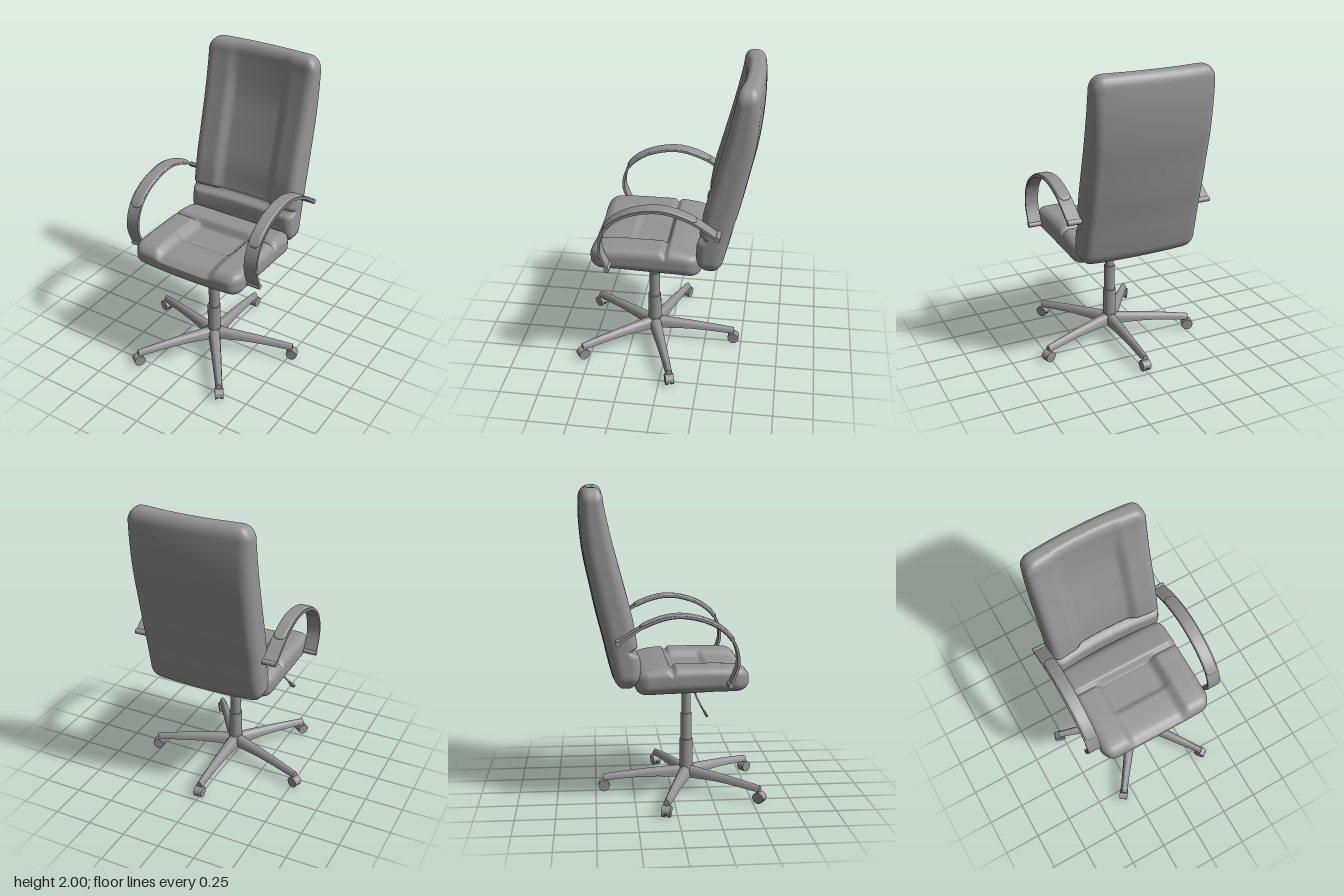
import * as THREE from 'three';
import { mergeVertices, toCreasedNormals } from 'three/addons/utils/BufferGeometryUtils.js';

const mat = new THREE.MeshStandardMaterial({ color: 0x949494 });
const { smoothstep, lerp } = THREE.MathUtils;

function add(parent, name, geo, x = 0, y = 0, z = 0) {
  const m = new THREE.Mesh(geo, mat);
  m.name = name;
  m.position.set(x, y, z);
  parent.add(m);
  return m;
}

// Finely divided rounded box whose vertices are moved by a rule
function cushion(w, h, d, r, segs, rule) {
  let g = new THREE.BoxGeometry(w, h, d, ...segs);
  g.deleteAttribute('normal');
  g.deleteAttribute('uv');
  g = mergeVertices(g, 1e-5);
  const p = g.attributes.position;
  const v = new THREE.Vector3(), c = new THREE.Vector3();
  const lim = new THREE.Vector3(w / 2 - r, h / 2 - r, d / 2 - r);
  for (let i = 0; i < p.count; i++) {
    v.fromBufferAttribute(p, i);
    c.copy(v).clamp(lim.clone().negate(), lim);
    v.sub(c).setLength(r).add(c);
    rule(v);
    p.setXYZ(i, v.x, v.y, v.z);
  }
  g.computeVertexNormals();
  return g;
}

// Smooth pair of values along a sorted list of [t, a, b]
function profile(rows) {
  const f = new THREE.CubicInterpolant(rows.map(r => r[0]), rows.flatMap(r => [r[1], r[2]]), 2);
  return t => f.evaluate(THREE.MathUtils.clamp(t, rows[0][0], rows.at(-1)[0]));
}

const dent = (t, centre, width) => Math.exp(-(((t - centre) / width) ** 2));
const channel = x => 1 - smoothstep(Math.abs(x), 0.165, 0.235);
// Extra rounding of the outline towards the outer corners
const corner = x => (Math.max(0, Math.abs(x) - 0.29) / 0.105) ** 3;

function seatGeometry() {
  // z, underside height, top height
  const prof = profile([[-0.25, 0.72, 0.865], [-0.2, 0.715, 0.88], [-0.06, 0.718, 0.902],
    [0.1, 0.722, 0.905], [0.25, 0.728, 0.905], [0.4, 0.732, 0.897], [0.46, 0.742, 0.885]]);
  return cushion(0.79, 0.17, 0.71, 0.062, [60, 16, 72], v => {
    v.z += 0.105;
    v.z -= 0.035 * corner(v.x) * (smoothstep(v.z, 0.28, 0.46) - smoothstep(-v.z, 0.1, 0.25));
    const [low, high] = prof(v.z);
    const s = v.y / 0.17 + 0.5;
    const top = smoothstep(s, 0.45, 1);
    const front = smoothstep(v.z, -0.03, 0.0);
    const well = front * (1 - smoothstep(v.z, 0.19, 0.23));
    v.y = lerp(low + 0.02 * (v.x / 0.39) ** 2, high, s);
    v.y -= top * (0.024 * dent(v.z, -0.02, 0.014) + channel(v.x) * (0.036 * front + 0.018 * well));
  });
}

function backGeometry() {
  // height, rear z, front z
  const prof = profile([[0.77, -0.378, -0.24], [0.85, -0.4, -0.212], [0.95, -0.425, -0.21],
    [1.05, -0.447, -0.228], [1.2, -0.485, -0.252], [1.4, -0.528, -0.303],
    [1.6, -0.568, -0.355], [1.8, -0.587, -0.402], [1.92, -0.587, -0.425], [2, -0.58, -0.43]]);
  return cushion(0.79, 1.23, 0.17, 0.062, [60, 100, 14], v => {
    v.y += 1.385;
    v.y -= 0.03 * corner(v.x) * (smoothstep(v.y, 1.8, 2) - smoothstep(-v.y, -0.92, -0.77));
    const [rear, front] = prof(v.y);
    const s = v.z / 0.17 + 0.5;
    const face = smoothstep(s, 0.45, 1);
    const bow = (v.x / 0.39) ** 2;
    v.z = lerp(rear + 0.023 * bow, front - 0.028 * (1 - Math.min(1, bow)), s);
    v.z -= face * (0.045 * dent(v.y, 1.005, 0.016)
      + channel(v.x) * smoothstep(v.y, 1.0, 1.04) * lerp(0.035, 0.008, smoothstep(v.y, 1.6, 1.98)));
  });
}

// Side profile of the arm loop, x holding the depth
const armCurve = new THREE.CatmullRomCurve3([[0.328, 0.81], [0.374, 0.94], [0.358, 1.05], [0.307, 1.13],
  [0.19, 1.205], [0, 1.24], [-0.18, 1.192], [-0.355, 1.08]].map(([z, y]) => new THREE.Vector3(z, y, 0)));

// Point on the arm loop, moved outwards by an offset
function armPoint(t, offset) {
  const p = armCurve.getPointAt(t), d = armCurve.getTangentAt(t);
  return new THREE.Vector2(p.x + d.y * offset, p.y - d.x * offset);
}

function armBandGeometry() {
  const outer = [], inner = [];
  for (let i = 0; i <= 60; i++) {
    outer.push(armPoint(i / 60, 0.007));
    inner.unshift(armPoint(i / 60, -0.009));
  }
  const g = new THREE.ExtrudeGeometry(new THREE.Shape([...outer, ...inner]), { depth: 0.088, bevelEnabled: false });
  g.translate(0, 0, -0.044).rotateY(-Math.PI / 2);
  return toCreasedNormals(g, 0.7);
}

function armPadGeometry() {
  // Soft strip with rounded ends, bent along the loop from back to front
  return cushion(0.082, 0.03, 0.62, 0.013, [12, 6, 80], v => {
    const e = Math.max(0, (Math.abs(v.z) - 0.27) / 0.04);
    v.x *= Math.sqrt(1 - 0.85 * e * e);
    const p = armPoint(lerp(0.85, 0.27, v.z / 0.62 + 0.5), v.y);
    v.set(v.x, p.y, p.x);
  });
}

function armrest(side) {
  const g = new THREE.Group();
  g.name = side > 0 ? 'leftArmrest' : 'rightArmrest';
  g.position.x = side * 0.441;
  add(g, 'armBand', armBandGeometry());
  add(g, 'armPad', armPadGeometry(), -side * 0.003);
  for (const t of [0, 1]) {
    const p = armCurve.getPointAt(t);
    add(g, 'armEndBar', new THREE.CylinderGeometry(0.017, 0.017, 0.088, 20).rotateZ(Math.PI / 2), 0, p.y, p.x);
  }
  return g;
}

function legGeometry() {
  // Tapered beam with a crowned top, running outwards along +z
  const g = new THREE.BoxGeometry(1, 1, 1, 8, 2, 12);
  const p = g.attributes.position;
  for (let i = 0; i < p.count; i++) {
    const t = p.getZ(i) + 0.5, x = p.getX(i), s = p.getY(i) + 0.5;
    const low = 0.088 + 0.014 * Math.sin(Math.PI * Math.min(1, t * 1.1)) - 0.01 * t;
    const high = 0.166 - 0.04 * t - 0.012 * t ** 3 - 0.09 * x * x;
    p.setXYZ(i, x * lerp(0.085, 0.044, t) * (1 - 0.15 * s), lerp(low, high, s), t * 0.55);
  }
  return toCreasedNormals(g, 1.1);
}

function caster() {
  const g = new THREE.Group();
  g.name = 'caster';
  g.position.set(0, 0.035, 0.546);
  for (const s of [-1, 1]) {
    const wheel = new THREE.CylinderGeometry(0.035, 0.035, 0.019, 24).rotateZ(Math.PI / 2);
    add(g, 'wheel', wheel, s * 0.017);
  }
  add(g, 'axle', new THREE.CylinderGeometry(0.024, 0.024, 0.04, 16).rotateZ(Math.PI / 2));
  // Solid half-round cover over the wheels
  const half = new THREE.Shape().absarc(0, 0, 0.038, 0, Math.PI);
  const hood = new THREE.ExtrudeGeometry(half, { depth: 0.056, bevelEnabled: false, curveSegments: 16 });
  add(g, 'hood', toCreasedNormals(hood.translate(0, 0, -0.028).rotateY(Math.PI / 2), 0.7));
  add(g, 'stem', new THREE.CylinderGeometry(0.012, 0.012, 0.03, 12), 0, 0.045, -0.01);
  return g;
}

function base() {
  const g = new THREE.Group();
  g.name = 'base';
  g.position.z = 0.1;
  for (let i = 0; i < 5; i++) {
    const leg = new THREE.Group();
    leg.name = 'leg';
    leg.rotation.y = Math.PI + i * Math.PI * 0.4;
    add(leg, 'legBeam', legGeometry());
    leg.add(caster());
    g.add(leg);
  }
  add(g, 'hub', new THREE.CylinderGeometry(0.046, 0.052, 0.076, 32), 0, 0.127);
  // Telescopic column: radius, bottom, top
  for (const [r, y0, y1] of [[0.044, 0.1, 0.345], [0.036, 0.34, 0.52], [0.029, 0.51, 0.725]]) {
    add(g, 'column', new THREE.CylinderGeometry(r, r, y1 - y0, 32), 0, (y0 + y1) / 2);
  }
  return g;
}

function mechanism() {
  const g = new THREE.Group();
  g.name = 'mechanism';
  add(g, 'mountPlate', new THREE.BoxGeometry(0.3, 0.02, 0.32), 0, 0.726, 0.1);
  const housing = new THREE.BoxGeometry(0.2, 0.03, 0.32);
  const p = housing.attributes.position;
  for (let i = 0; i < p.count; i++) if (p.getY(i) < 0) p.setX(i, p.getX(i) * 0.7);
  housing.computeVertexNormals();
  add(g, 'housing', housing, 0, 0.72, 0.1);
  // Height lever with a flat teardrop grip
  const V = (x, y, z) => new THREE.Vector3(x, y, z);
  const path = new THREE.CurvePath();
  path.add(new THREE.LineCurve3(V(-0.06, 0.716, 0.13), V(-0.3, 0.716, 0.13)));
  path.add(new THREE.QuadraticBezierCurve3(V(-0.3, 0.716, 0.13), V(-0.32, 0.716, 0.13), V(-0.33, 0.7, 0.137)));
  path.add(new THREE.LineCurve3(V(-0.33, 0.7, 0.137), V(-0.362, 0.648, 0.162)));
  add(g, 'lever', new THREE.TubeGeometry(path, 40, 0.006, 8));
  const outline = [[0, 0], [0.008, 0], [0.018, 0.05], [0.019, 0.066], [0.012, 0.075], [0, 0.077]];
  const gripGeo = new THREE.LatheGeometry(outline.map(q => new THREE.Vector2(...q)), 20);
  const grip = add(g, 'leverGrip', gripGeo.scale(1, 1, 0.45).rotateX(Math.PI), -0.358, 0.655, 0.159);
  grip.quaternion.setFromUnitVectors(V(0, -1, 0), V(-0.028, -0.06, 0.036).normalize());
  return g;
}

export function createModel() {
  const chair = new THREE.Group();
  chair.name = 'officeChair';
  add(chair, 'seat', seatGeometry());
  add(chair, 'backrest', backGeometry());
  chair.add(armrest(1), armrest(-1), base(), mechanism());
  return chair;
}
